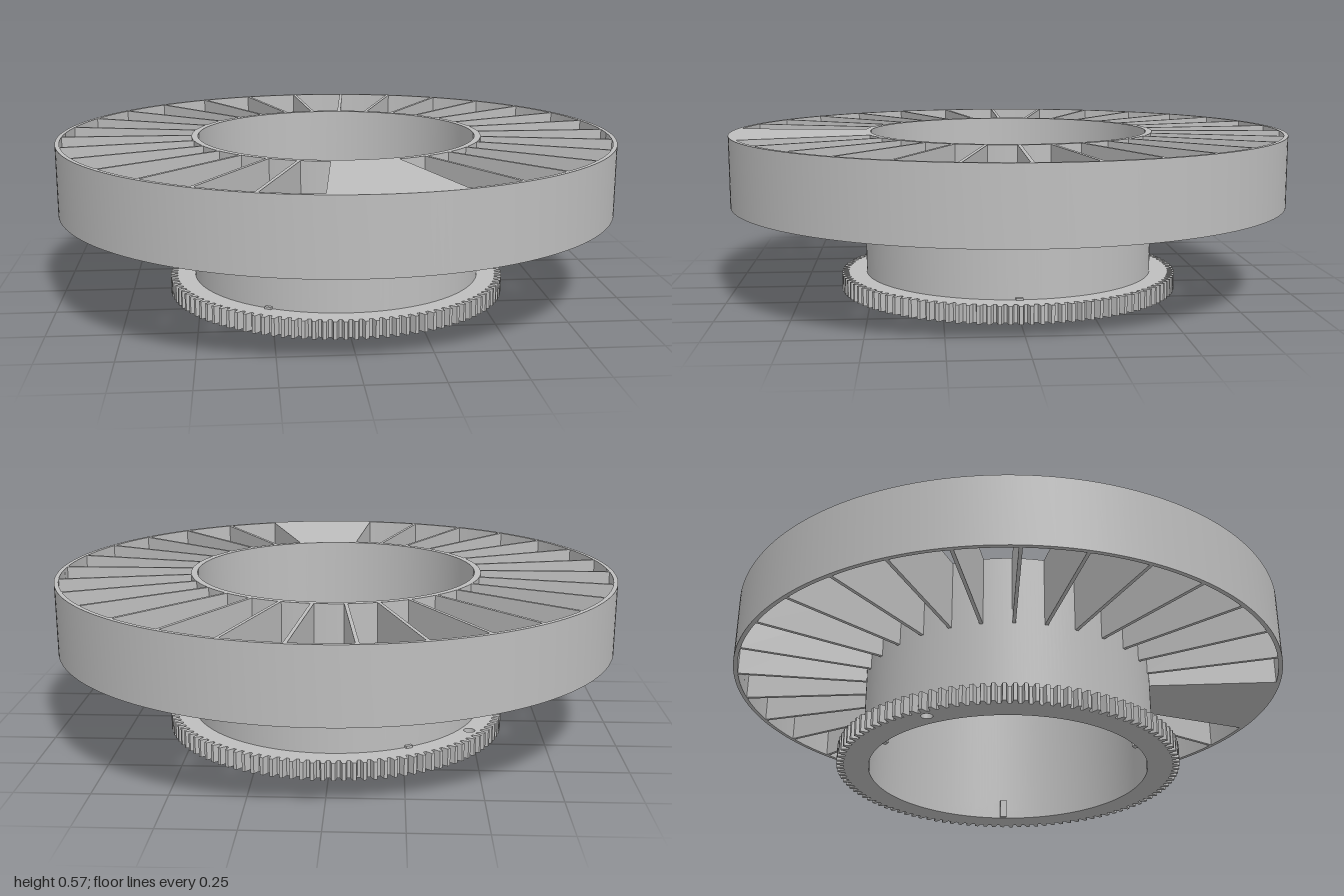
import * as THREE from 'three';
import { toCreasedNormals } from 'three/addons/utils/BufferGeometryUtils.js';

const BORE = 0.5, HUB = 0.523, RIM = 0.985, TOP = 0.575, RING_BOTTOM = 0.325, GEAR_TOP = 0.062;
const STEP = Math.PI / 15; // thirty compartments
const grey = new THREE.MeshStandardMaterial({ color: 0xbebebe });
grey.name = 'grey';

// Extrudes a plan drawn in (x, z) between two heights
function slab(name, shape, y0, y1, crease = 0.5) {
  let geo = new THREE.ExtrudeGeometry(shape, { depth: y1 - y0, bevelEnabled: false, curveSegments: 120 });
  geo.rotateX(Math.PI / 2).translate(0, y1, 0);
  geo = toCreasedNormals(geo, crease);
  const mesh = new THREE.Mesh(geo, grey);
  mesh.name = name;
  return mesh;
}

function circle(PathType, x, y, r) {
  const path = new PathType();
  path.absarc(x, y, r, 0, Math.PI * 2, false);
  return path;
}

function tube(name, inner, outer, y0, y1) {
  const shape = circle(THREE.Shape, 0, 0, outer);
  shape.holes.push(circle(THREE.Path, 0, 0, inner));
  return slab(name, shape, y0, y1);
}

// Upright radial box at an angle measured from +x towards +z
function radialBox(name, angle, r0, r1, width, y0, y1) {
  const geo = new THREE.BoxGeometry(r1 - r0, y1 - y0, width);
  geo.translate((r0 + r1) / 2, (y0 + y1) / 2, 0);
  const mesh = new THREE.Mesh(geo, grey);
  mesh.name = name;
  mesh.rotation.y = -angle;
  return mesh;
}

export function createModel() {
  const model = new THREE.Group();
  model.name = 'compartmentWheel';

  // Hub and outer rim
  model.add(tube('hub', BORE, HUB, 0.03, TOP));
  model.add(tube('outerRim', RIM, 1, RING_BOTTOM, TOP));

  // Radial dividers, with one left out inside the blocked sector
  const dividers = new THREE.Group();
  dividers.name = 'dividers';
  for (let i = 0; i < 30; i++) {
    if (i !== 7) dividers.add(radialBox('divider', i * STEP, 0.515, 0.99, 0.012, RING_BOTTOM, TOP));
  }
  model.add(dividers);

  // Blocked sector two compartments wide
  const sector = new THREE.Shape();
  sector.absarc(0, 0, 0.992, 6 * STEP, 8 * STEP, false);
  sector.absarc(0, 0, 0.51, 8 * STEP, 6 * STEP, true);
  sector.closePath();
  model.add(slab('blockedSector', sector, RING_BOTTOM, TOP));

  // Toothed drive ring with a small index hole
  const teeth = 110, root = 0.588, tip = 0.613;
  const outline = [];
  for (let i = 0; i < teeth; i++) {
    for (const [t, r] of [[-0.34, root], [-0.17, tip], [0.17, tip], [0.34, root]]) {
      const a = (i + t) / teeth * Math.PI * 2;
      outline.push(new THREE.Vector2(r * Math.cos(a), r * Math.sin(a)));
    }
  }
  const gear = new THREE.Shape(outline);
  gear.holes.push(circle(THREE.Path, 0, 0, BORE), circle(THREE.Path, -0.48, -0.28, 0.02));
  model.add(slab('driveGear', gear, 0, GEAR_TOP, 0.2));

  // Three locating tabs in the bore
  for (let i = 0; i < 3; i++) {
    model.add(radialBox('locatingTab', i * Math.PI * 2 / 3, 0.485, 0.535, 0.024, 0.002, 0.07));
  }
  return model;
}
